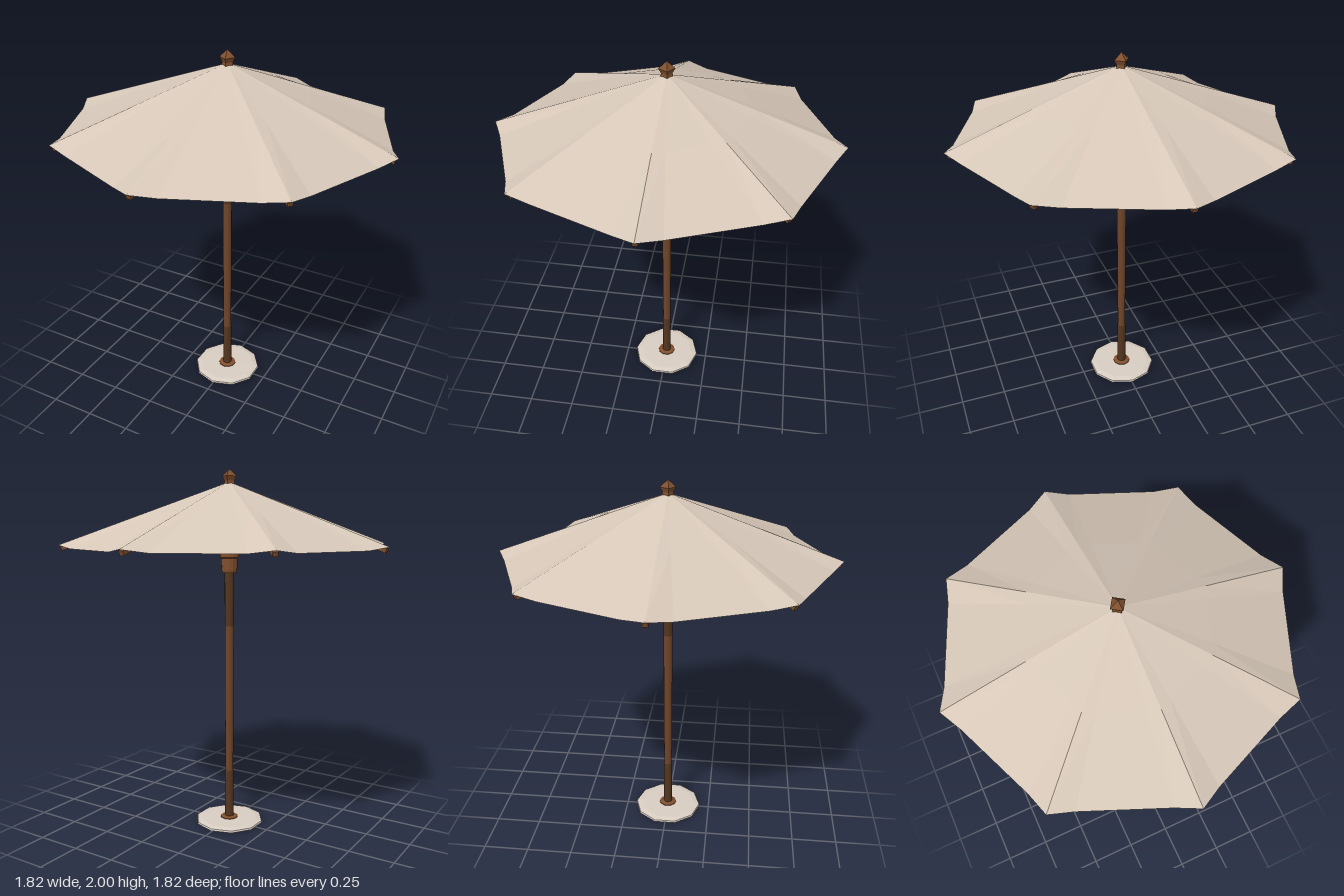
import * as THREE from 'three';

const paint = (name, color, extra = {}) => Object.assign(new THREE.MeshStandardMaterial({ color, ...extra }), { name });

export function createModel() {
  const model = new THREE.Group();
  model.name = 'parasol';
  const fabric = paint('fabric', 0xd6c7b8, { side: THREE.DoubleSide, flatShading: true });
  const wood = paint('wood', 0x81502f, { flatShading: true });
  const poleWood = paint('poleWood', 0x6f452a);
  const darkWood = paint('darkWood', 0x543620);
  const stone = paint('stone', 0xd8cdc2, { flatShading: true });

  const add = (name, geometry, material, parent = model) => {
    const mesh = new THREE.Mesh(geometry, material);
    mesh.name = name;
    parent.add(mesh);
    return mesh;
  };
  const turned = (name, points, sides, material) =>
    add(name, new THREE.LatheGeometry(points.map(([r, y]) => new THREE.Vector2(r, y)), sides), material);
  // Square bar between two points of the x-y plane
  const bar = (name, [x0, y0], [x1, y1], height, width, parent) => {
    const mesh = add(name, new THREE.BoxGeometry(Math.hypot(x1 - x0, y1 - y0), height, width), wood, parent);
    mesh.position.set((x0 + x1) / 2, (y0 + y1) / 2, 0);
    mesh.rotation.z = Math.atan2(y1 - y0, x1 - x0);
  };

  // Foot: thin ten-sided slab with a wooden collar
  turned('basePlate', [[0, 0], [0.18, 0], [0.195, 0.008], [0.192, 0.018], [0.16, 0.025], [0, 0.027]], 10, stone);
  turned('baseCollar', [[0, 0.02], [0.052, 0.02], [0.05, 0.03], [0.03, 0.036], [0, 0.036]], 10, wood);

  // Pole in three sections
  turned('lowerPole', [[0.025, 0.025], [0.024, 0.31], [0.02, 0.312]], 12, darkWood);
  turned('middlePole', [[0.022, 0.3], [0.024, 0.7], [0.025, 1.15]], 12, poleWood);
  turned('upperPole', [[0.025, 1.15], [0.026, 1.45], [0.024, 1.9]], 12, darkWood);

  // Sliding hub for the struts, and crown hub for the ribs
  turned('runnerHub', [[0.02, 1.445], [0.039, 1.445], [0.043, 1.46], [0.046, 1.525], [0.052, 1.53],
    [0.052, 1.558], [0.043, 1.565], [0.04, 1.58], [0.022, 1.585]], 12, wood);
  turned('crownHub', [[0.02, 1.83], [0.04, 1.835], [0.045, 1.88], [0.03, 1.9]], 12, wood);

  // Eight ribs with their struts
  for (let i = 0; i < 8; i++) {
    const arm = new THREE.Group();
    arm.name = 'ribAssembly';
    arm.rotation.y = i * Math.PI / 4;
    bar('rib', [0.03, 1.902], [0.895, 1.585], 0.024, 0.026, arm);
    bar('strut', [0.04, 1.558], [0.47, 1.735], 0.022, 0.022, arm);
    bar('strutBracket', [0.445, 1.738], [0.5, 1.718], 0.03, 0.034, arm);
    model.add(arm);
  }

  // Canopy: eight panels whose hems draw in and sag slightly between the ribs
  const rings = [0.02, 0.5, 1], steps = [0, 0.18, 0.5, 0.82, 1];
  const point = (panel, t, s) => {
    const a = panel * Math.PI / 4, b = a + Math.PI / 4, sag = t > 0 && t < 1 ? s * s : 0;
    const r = 0.91 * s * (1 - 0.014 * sag);
    return [r * (Math.cos(a) * (1 - t) + Math.cos(b) * t), 1.932 - 0.33 * s - 0.016 * sag,
      r * (Math.sin(a) * (1 - t) + Math.sin(b) * t)];
  };
  const positions = [];
  for (let p = 0; p < 8; p++) {
    for (let i = 0; i + 1 < rings.length; i++) {
      for (let j = 0; j + 1 < steps.length; j++) {
        const a = point(p, steps[j], rings[i]), b = point(p, steps[j + 1], rings[i]);
        const c = point(p, steps[j + 1], rings[i + 1]), d = point(p, steps[j], rings[i + 1]);
        positions.push(...a, ...b, ...c, ...a, ...c, ...d);
      }
    }
  }
  const cloth = new THREE.BufferGeometry();
  cloth.setAttribute('position', new THREE.Float32BufferAttribute(positions, 3));
  cloth.computeVertexNormals();
  add('canopy', cloth, fabric);

  // Faceted finial
  const finial = turned('finial', [[0, 1.922], [0.03, 1.922], [0.028, 1.938], [0.042, 1.962], [0, 2]], 4, wood);
  finial.rotation.y = 0.2;

  return model;
}
